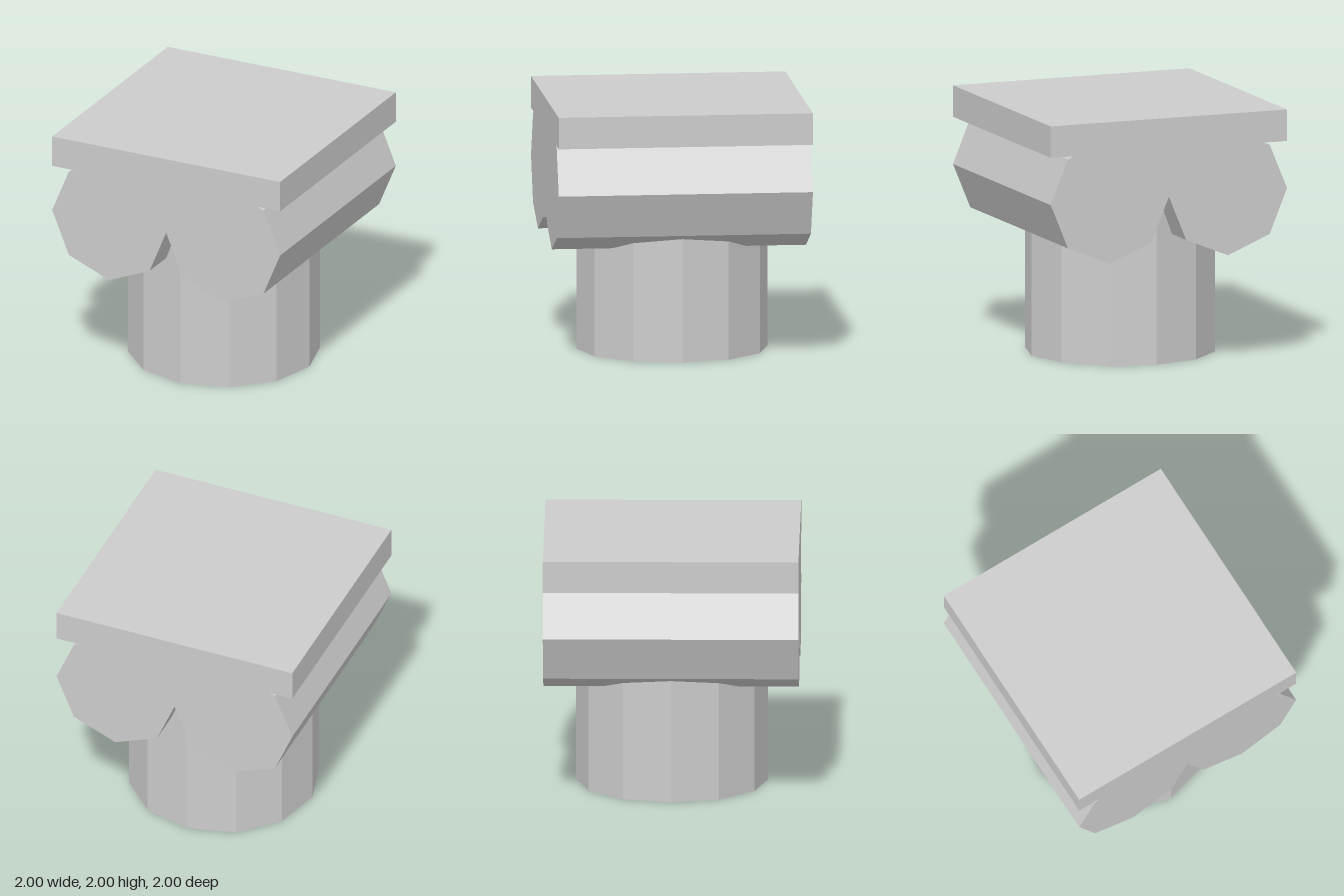
import * as THREE from 'three';

export function createModel() {
  const model = new THREE.Group();
  const material = new THREE.MeshStandardMaterial({ color: 0xcccccc, flatShading: true });

  function add(name, geometry, y, z = 0) {
    const mesh = new THREE.Mesh(geometry, material);
    mesh.name = name;
    mesh.position.set(0, y, z);
    model.add(mesh);
  }

  // twelve-sided shaft, its top buried in the scrolls
  add('shaft', new THREE.CylinderGeometry(0.75, 0.75, 1.5, 12), 0.75);

  // pair of octagonal scrolls joined above the notch, up to the slab
  const radius = 0.5, centreY = 1.375, slabBottom = 1.75;
  const corner = (i) => new THREE.Vector2(
    0.5 + radius * Math.cos(i * Math.PI / 4),
    centreY + radius * Math.sin(i * Math.PI / 4));
  const half = [];
  for (let i = -4; i <= 1; i++) half.push(corner(i)); // notch apex, round the underside
  const shoulder = corner(1), crown = corner(2);
  half.push(shoulder.clone().lerp(crown, (slabBottom - shoulder.y) / (crown.y - shoulder.y)));
  const mirrored = half.slice(1).reverse().map((p) => new THREE.Vector2(-p.x, p.y));
  const outline = new THREE.Shape([...half, ...mirrored]);
  add('scrolls', new THREE.ExtrudeGeometry(outline, { depth: 2, bevelEnabled: false }), 0, -1);

  // square top slab
  add('topSlab', new THREE.BoxGeometry(2, 0.25, 2), 1.875);

  return model;
}
